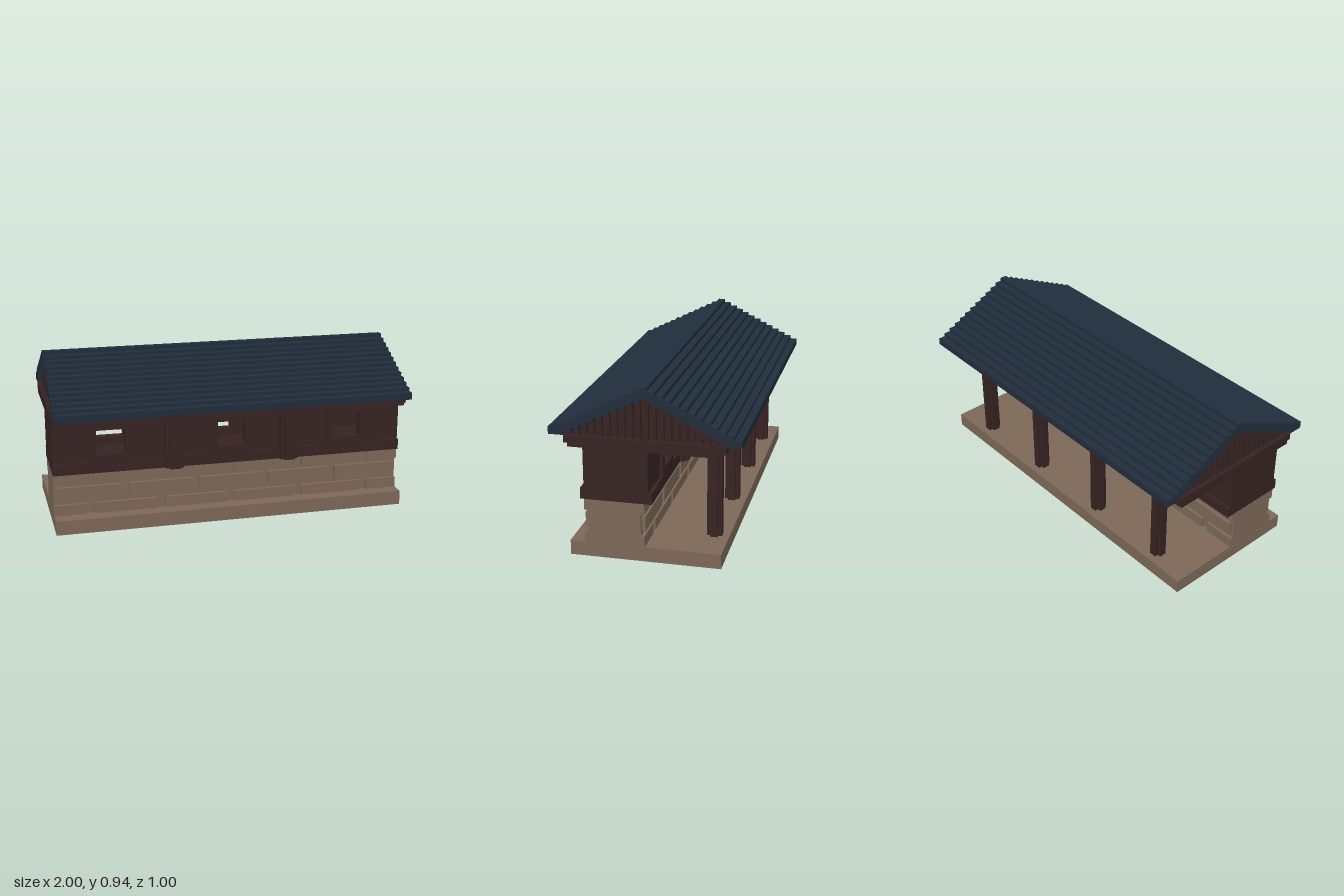
import * as THREE from 'three';

const stone = new THREE.MeshStandardMaterial({ color: 0x7c6858 });
stone.name = 'stone';
const wood = new THREE.MeshStandardMaterial({ color: 0x362323 });
wood.name = 'dark wood';
const tile = new THREE.MeshStandardMaterial({ color: 0x212d3b });
tile.name = 'slate blue roof';

export function createModel() {
  const model = new THREE.Group();
  model.name = 'longHouse';

  const group = (name) => {
    const g = new THREE.Group();
    g.name = name;
    model.add(g);
    return g;
  };
  // Box given by its low and high limits on each axis
  const box = (parent, name, mat, x0, x1, y0, y1, z0, z1) => {
    const mesh = new THREE.Mesh(new THREE.BoxGeometry(x1 - x0, y1 - y0, z1 - z0), mat);
    mesh.position.set((x0 + x1) / 2, (y0 + y1) / 2, (z0 + z1) / 2);
    mesh.name = name;
    parent.add(mesh);
    return mesh;
  };
  // Panel in the xy plane with rectangular openings
  const rect = (Type, x0, x1, y0, y1) => new Type([
    [x0, y0], [x1, y0], [x1, y1], [x0, y1],
  ].map(([x, y]) => new THREE.Vector2(x, y)));
  const panel = (parent, name, x0, x1, y0, y1, z0, z1, openings) => {
    const shape = rect(THREE.Shape, x0, x1, y0, y1);
    openings.forEach((c) => shape.holes.push(rect(THREE.Path, c - 0.08, c + 0.08, 0.42, 0.56)));
    const mesh = new THREE.Mesh(
      new THREE.ExtrudeGeometry(shape, { depth: z1 - z0, bevelEnabled: false }), wood);
    mesh.position.z = z0;
    mesh.name = name;
    parent.add(mesh);
  };
  // Square post with notched corners
  const post = (parent, name, x, z, y0, y1, r, notch) => {
    const i = r - notch;
    box(parent, name, wood, x - r, x + r, y0, y1, z - i, z + i);
    box(parent, name, wood, x - i, x + i, y0, y1, z - r, z + r);
  };

  // Foundation and stone wall core
  box(model, 'foundation', stone, -1, 1, 0, 0.08, -0.4, 0.4);
  box(model, 'stoneWall', stone, -1, 1, 0.08, 0.32, 0.02, 0.3);

  // Raised stone blocks in running bond on both long faces
  const blocks = group('stoneBlocks');
  [[0.08, 0.14, 0], [0.16, 0.24, 0.2], [0.26, 0.32, 0]].forEach(([y0, y1, shift]) => {
    for (let c = -1 + shift; c <= 1.01; c += 0.4) {
      const x0 = Math.max(-1, c - 0.18), x1 = Math.min(1, c + 0.18);
      if (x1 - x0 < 0.05) continue;
      box(blocks, 'stoneBlock', stone, x0, x1, y0, y1, 0.3, 0.32);
      box(blocks, 'stoneBlock', stone, x0, x1, y0, y1, 0, 0.02);
    }
  });

  // Timber storey: sill, pierced long walls, closed ends
  const storey = group('timberStorey');
  box(storey, 'sill', wood, -1, 1, 0.32, 0.38, -0.04, 0.34);
  const front = [-0.68, 0, 0.68], back = [-0.64, 0, 0.64];
  panel(storey, 'frontWall', -1, 1, 0.38, 0.6, 0.28, 0.32, front);
  panel(storey, 'backWall', -1, 1, 0.38, 0.6, -0.02, 0.02, back);
  for (const s of [-1, 1]) {
    box(storey, 'endWall', wood, s * 0.98 - 0.02, s * 0.98 + 0.02, 0.38, 0.6, 0.02, 0.28);
    post(storey, 'frontWallPost', s * 0.33, 0.33, 0.32, 0.6, 0.05, 0.02);
    post(storey, 'backWallPost', s * 0.33, -0.03, 0.32, 0.6, 0.05, 0.02);
  }
  front.forEach((c) => panel(storey, 'frontWindowFrame', c - 0.12, c + 0.12, 0.38, 0.6, 0.32, 0.34, [c]));
  back.forEach((c) => panel(storey, 'backWindowFrame', c - 0.12, c + 0.12, 0.38, 0.6, -0.04, -0.02, [c]));

  // Veranda posts
  const veranda = group('verandaPosts');
  [-0.76, -0.26, 0.26, 0.76].forEach((x) => post(veranda, 'verandaPost', x, -0.32, 0.08, 0.6, 0.04, 0.02));

  // Ceiling slab with a stepped edge
  box(model, 'ceiling', wood, -1, 1, 0.6, 0.62, -0.4, 0.4);
  box(model, 'topBeam', wood, -1, 1, 0.62, 0.66, -0.42, 0.42);

  // Stepped roof, extruded along the ridge
  const top = [], under = [];
  for (let i = -12; i <= 12; i++) {
    const a = Math.abs(i), z0 = i * 0.04 - 0.02, z1 = z0 + 0.04;
    const yt = 0.94 - 0.02 * a, yb = Math.max(0.66, 0.88 - 0.02 * a);
    top.push(new THREE.Vector2(z0, yt), new THREE.Vector2(z1, yt));
    under.push(new THREE.Vector2(z0, yb), new THREE.Vector2(z1, yb));
  }
  const roofGeometry = new THREE.ExtrudeGeometry(
    new THREE.Shape([...top, ...under.reverse()]), { depth: 2, bevelEnabled: false });
  const roof = new THREE.Mesh(roofGeometry, tile);
  roof.name = 'roof';
  roof.rotation.y = Math.PI / 2;
  roof.position.x = -1;
  model.add(roof);

  // Gable boards, every other one set back
  const gables = group('gables');
  for (let k = -21; k < 21; k++) {
    const z = k * 0.02 + 0.01;
    const y = 0.88 - 0.02 * Math.round(Math.abs(z) / 0.04);
    const outer = k % 2 ? 0.98 : 0.96;
    box(gables, 'gableBoard', wood, 0.92, outer, 0.66, y, z - 0.01, z + 0.01);
    box(gables, 'gableBoard', wood, -outer, -0.92, 0.66, y, z - 0.01, z + 0.01);
  }
  return model;
}
